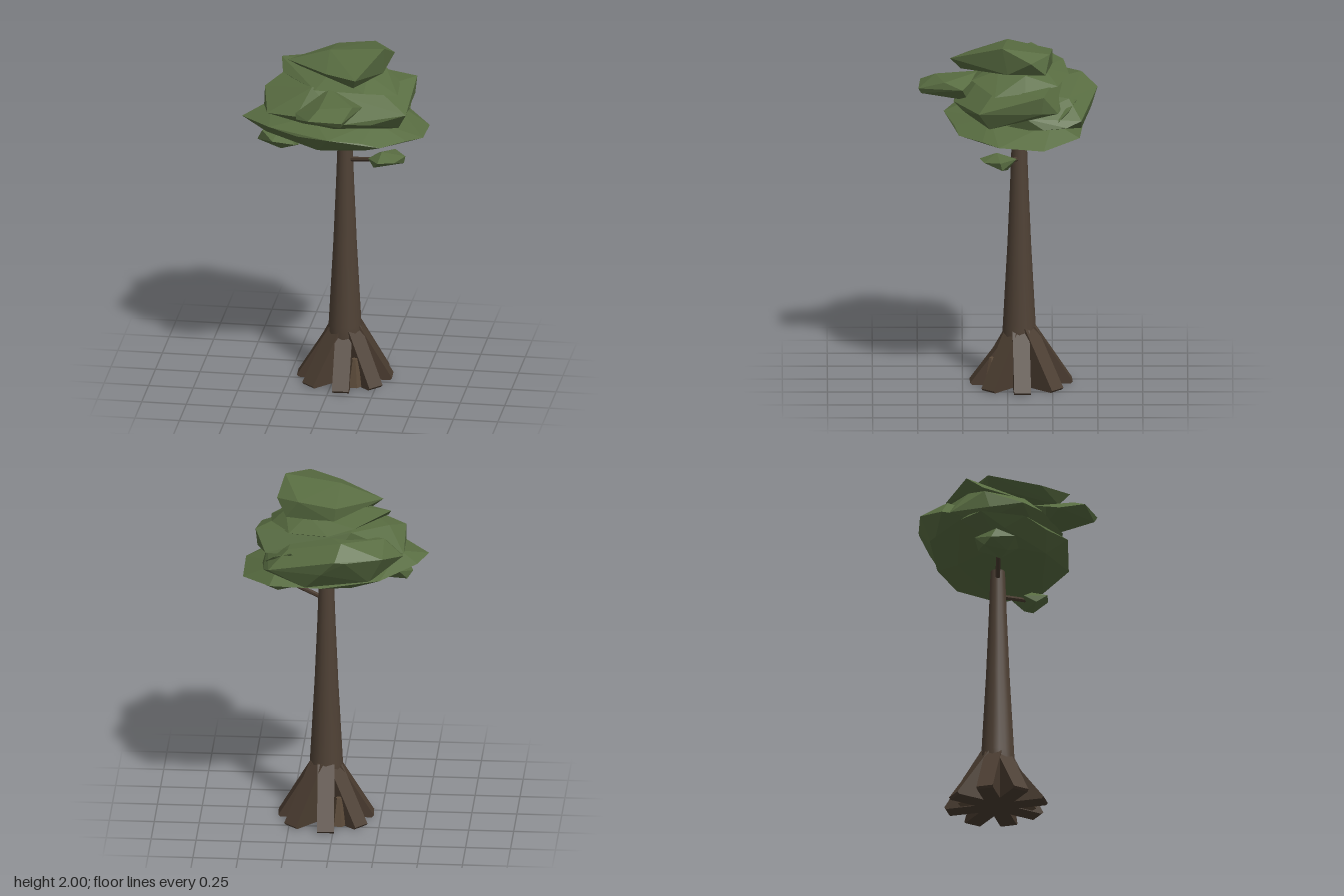
import * as THREE from 'three';
import { ConvexGeometry } from 'three/addons/geometries/ConvexGeometry.js';

const bark = new THREE.MeshStandardMaterial({ color: 0x4f4135 });
const barkFlat = new THREE.MeshStandardMaterial({ color: 0x4a3c30, flatShading: true });
const knotMat = new THREE.MeshStandardMaterial({ color: 0x5c4b3a, flatShading: true });
const leaf = new THREE.MeshStandardMaterial({ color: 0x586c41, flatShading: true });

const TRUNK_X = 0.055, TRUNK_Z = -0.065;

// Faceted foliage mass: the hull of a few [x, y, z] corners
function foliage(name, corners) {
  const mesh = new THREE.Mesh(new ConvexGeometry(corners.map(p => new THREE.Vector3(...p))), leaf);
  mesh.name = name;
  return mesh;
}

// Thin straight limb between two points
function branch(name, a, b) {
  const line = new THREE.LineCurve3(new THREE.Vector3(...a), new THREE.Vector3(...b));
  const mesh = new THREE.Mesh(new THREE.TubeGeometry(line, 1, 0.013, 7), barkFlat);
  mesh.name = name;
  return mesh;
}

export function createModel() {
  const tree = new THREE.Group();
  tree.name = 'tree';

  // Tapering trunk
  const profile = [[0, 0.01], [0.12, 0.01], [0.092, 0.32], [0.066, 0.8], [0.051, 1.15], [0.04, 1.45], [0.036, 1.6], [0, 1.6]];
  const trunk = new THREE.Mesh(new THREE.LatheGeometry(profile.map(p => new THREE.Vector2(...p)), 16), bark);
  trunk.name = 'trunk';
  trunk.position.set(TRUNK_X, 0, TRUNK_Z);
  tree.add(trunk);

  // Eight buttress roots around the trunk: [reach, top height]
  const roots = new THREE.Group();
  roots.name = 'roots';
  roots.position.set(TRUNK_X, 0, TRUNK_Z - 0.005);
  const rootData = [[0.28, 0.28], [0.27, 0.31], [0.265, 0.32], [0.28, 0.33], [0.29, 0.33], [0.28, 0.31], [0.265, 0.31], [0.27, 0.3]];
  rootData.forEach(([reach, top], i) => {
    const side = new THREE.Shape([[0, 0], [reach - 0.01, 0], [reach, 0.012], [0.08, top], [0, top + 0.02]]
      .map(p => new THREE.Vector2(...p)));
    const geo = new THREE.ExtrudeGeometry(side, { depth: 0.094, bevelEnabled: false });
    geo.translate(0, 0, -0.047);
    const root = new THREE.Mesh(geo, barkFlat);
    root.name = 'root';
    root.rotation.y = THREE.MathUtils.degToRad(3 + i * 45 - 90);
    roots.add(root);
  });
  // Small knobs in two of the gaps between roots
  for (const deg of [26, 207]) {
    const a = THREE.MathUtils.degToRad(deg);
    const knob = new THREE.Mesh(new THREE.CylinderGeometry(0.016, 0.045, 0.16, 6), knotMat);
    knob.name = 'rootKnob';
    knob.position.set(Math.sin(a) * 0.175, 0.085, Math.cos(a) * 0.175);
    knob.rotation.y = a;
    roots.add(knob);
  }
  tree.add(roots);

  // Side branches with their own tufts
  tree.add(
    branch('rightBranch', [0.04, 1.39, -0.06], [-0.26, 1.435, 0.04]),
    branch('leftBranch', [0.07, 1.295, -0.06], [0.27, 1.345, 0.04]),
    foliage('rightTuft', [[-0.42, 1.43, 0.05], [-0.39, 1.4, 0.0], [-0.39, 1.49, 0.07], [-0.28, 1.52, 0.0], [-0.32, 1.46, 0.16],
      [-0.2, 1.44, 0.14], [-0.19, 1.4, 0.03], [-0.22, 1.45, -0.09], [-0.35, 1.47, -0.07], [-0.28, 1.4, 0.1]]),
    foliage('leftTuft', [[0.2, 1.345, 0.04], [0.24, 1.315, 0.1], [0.28, 1.395, 0.06], [0.27, 1.36, 0.155], [0.36, 1.36, 0.13],
      [0.41, 1.37, 0.04], [0.4, 1.325, 0.03], [0.33, 1.31, 0.0], [0.34, 1.375, -0.05], [0.25, 1.35, -0.05]]));

  // Canopy, stacked from the lowest layer to the crown
  const canopy = new THREE.Group();
  canopy.name = 'canopy';
  canopy.add(
    foliage('lowerLayer', [[-0.51, 1.55, 0.02], [-0.455, 1.54, -0.12], [-0.36, 1.5, 0.11], [-0.33, 1.57, 0.22], [-0.16, 1.55, 0.29],
      [0.02, 1.56, 0.355], [0.2, 1.53, 0.295], [0.3, 1.5, 0.27], [0.43, 1.5, 0.14], [0.51, 1.49, 0.05],
      [0.51, 1.47, -0.2], [0.35, 1.5, -0.4], [0.06, 1.5, -0.42], [-0.26, 1.53, -0.36],
      [-0.25, 1.45, 0.05], [-0.05, 1.46, 0.25], [0.2, 1.435, 0.15], [0.25, 1.43, -0.2], [-0.1, 1.44, -0.25],
      [-0.36, 1.61, -0.1], [0.25, 1.59, 0.1], [0.3, 1.58, -0.25], [-0.1, 1.62, 0.15]]),
    foliage('rearLayer', [[-0.385, 1.64, -0.25], [-0.28, 1.68, -0.41], [-0.075, 1.68, -0.485], [-0.02, 1.69, -0.5], [0.06, 1.6, -0.465],
      [0.355, 1.6, -0.41], [0.39, 1.57, -0.33], [0.4, 1.56, -0.2], [0.38, 1.62, -0.1], [0.3, 1.53, 0.05], [-0.34, 1.57, 0.05],
      [-0.2, 1.52, -0.36], [0.15, 1.5, -0.41], [-0.05, 1.77, -0.41], [0.25, 1.7, -0.34], [-0.28, 1.74, -0.25], [0.2, 1.74, 0.0]]),
    foliage('middleLayer', [[-0.385, 1.73, 0.0], [-0.385, 1.63, 0.03], [-0.385, 1.63, -0.2], [-0.34, 1.65, 0.21], [-0.17, 1.66, 0.27],
      [0.1, 1.64, 0.3], [0.24, 1.62, 0.24], [0.43, 1.66, 0.16], [0.44, 1.76, -0.2], [0.43, 1.66, -0.19],
      [0.38, 1.65, -0.28], [0.0, 1.66, -0.36], [-0.3, 1.77, -0.12], [-0.1, 1.79, 0.14], [0.25, 1.77, 0.05],
      [-0.1, 1.8, -0.32], [0.0, 1.56, 0.2], [0.38, 1.56, 0.1], [-0.33, 1.57, -0.05]]),
    foliage('frontLayer', [[-0.17, 1.69, 0.29], [-0.155, 1.68, 0.36], [-0.07, 1.72, 0.485], [0.12, 1.72, 0.495], [0.11, 1.69, 0.48],
      [0.2, 1.73, 0.25], [0.16, 1.765, 0.35], [-0.02, 1.765, 0.4], [-0.05, 1.64, 0.25], [0.12, 1.65, 0.22], [0.0, 1.79, 0.14]]),
    foliage('upperLayer', [[-0.31, 1.86, -0.13], [-0.24, 1.79, 0.0], [-0.29, 1.8, -0.04], [-0.08, 1.78, 0.16], [0.2, 1.79, 0.2],
      [0.37, 1.74, 0.07], [0.36, 1.76, -0.1], [0.28, 1.84, -0.1], [0.25, 1.77, -0.28], [0.03, 1.78, -0.34],
      [-0.12, 1.82, -0.31], [0.0, 1.86, 0.04], [0.2, 1.85, 0.05], [-0.1, 1.87, -0.1], [0.15, 1.85, -0.2],
      [0.05, 1.72, 0.0], [0.1, 1.72, -0.2]]),
    foliage('sideTuft', [[0.19, 1.65, -0.36], [0.23, 1.69, -0.385], [0.33, 1.65, -0.34], [0.28, 1.66, -0.3], [0.21, 1.69, -0.32],
      [0.38, 1.6, -0.28], [0.25, 1.56, -0.33]]),
    foliage('crown', [[-0.26, 1.885, -0.02], [-0.01, 1.91, -0.25], [0.0, 1.83, -0.25], [0.2, 1.94, -0.235], [0.27, 1.84, -0.21],
      [0.325, 1.92, -0.13], [0.29, 2.0, 0.03], [0.17, 1.91, 0.32], [0.15, 1.845, 0.26], [-0.01, 1.9, 0.21],
      [0.03, 1.84, 0.12], [-0.2, 1.845, -0.04], [0.28, 1.845, 0.0], [-0.02, 1.965, 0.0]]));
  tree.add(canopy);
  return tree;
}
